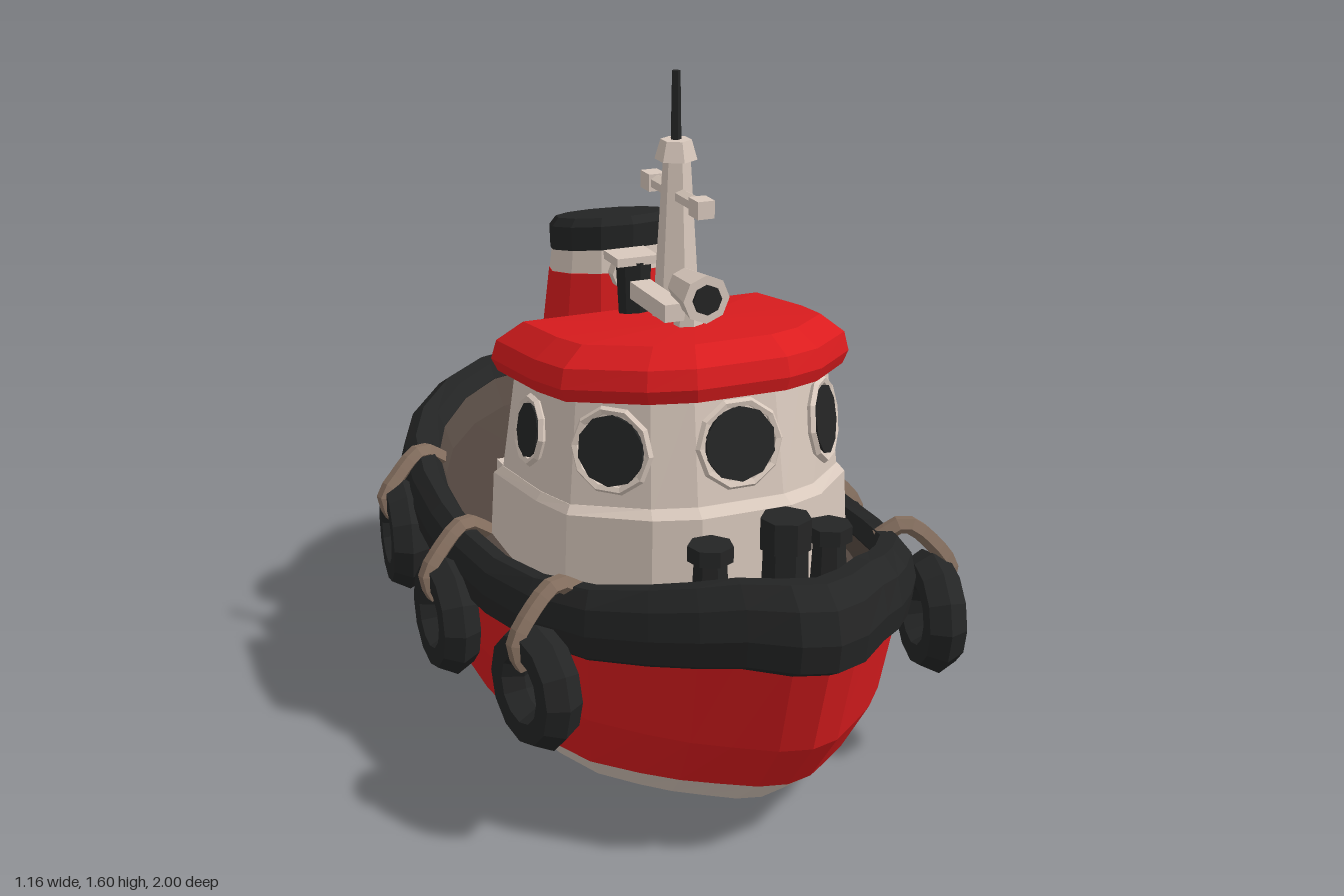
import * as THREE from 'three';

const mat = (name, color) => {
  const m = new THREE.MeshStandardMaterial({ color, flatShading: true });
  m.name = name;
  return m;
};

export function createModel() {
  const red = mat('red paint', 0xdb1c1e);
  const black = mat('black rubber', 0x242525);
  const cream = mat('cream paint', 0xd8c8bc);
  const deckBrown = mat('deck brown', 0x52463f);
  const ropeTan = mat('rope tan', 0x867060);

  const boat = new THREE.Group();
  boat.name = 'tugboat';
  const add = (name, geo, material, parent = boat) => {
    const m = new THREE.Mesh(geo, material);
    m.name = name;
    parent.add(m);
    return m;
  };

  // Skin a stack of closed rings, with optional end caps
  const loft = (rings, { bottom = false, top = false, lift = 0 } = {}) => {
    const pos = [];
    const tri = (...ps) => ps.forEach(p => pos.push(p.x, p.y, p.z));
    const n = rings[0].length;
    for (let k = 0; k + 1 < rings.length; k++) {
      const a = rings[k], b = rings[k + 1];
      for (let i = 0; i < n; i++) {
        const j = (i + 1) % n;
        tri(a[i], a[j], b[j]);
        tri(a[i], b[j], b[i]);
      }
    }
    const cap = (r, flip, up) => {
      const c = r.reduce((s, p) => s.add(p), new THREE.Vector3()).divideScalar(n);
      c.y += up;
      r.forEach((p, i) => {
        const q = r[(i + 1) % n];
        flip ? tri(c, q, p) : tri(c, p, q);
      });
    };
    if (bottom) cap(rings[0], true, 0);
    if (top) cap(rings[rings.length - 1], false, lift);
    const g = new THREE.BufferGeometry();
    g.setAttribute('position', new THREE.Float32BufferAttribute(pos, 3));
    g.computeVertexNormals();
    return g;
  };
  // Half outline (front to back) mirrored into a full ring
  const mirrored = half => [...half, ...half.slice(1).reverse()
    .filter(([x]) => x > 0).map(([x, z]) => [-x, z])];

  // ---- Hull ----
  const plan = mirrored([[0, 1], [.075, .975], [.16, .9], [.235, .83], [.31, .735], [.4, .6], [.46, .4], [.49, .2],
    [.5, 0], [.495, -.2], [.48, -.4], [.44, -.6], [.37, -.75], [.25, -.89], [.12, -.975], [0, -1]]);
  const hullRing = (sx, sFront, sBack, y) => plan.map(([x, z]) =>
    new THREE.Vector3(x * sx, y(z), z * (z > 0 ? sFront : sBack)));
  const railTop = z => .52 + (z > 0 ? Math.min(.2 * z * z, .175) : .11 * z * z);
  const railLow = z => .38 + (z > 0 ? Math.min(.15 * z * z, .12) : .1 * z * z);
  const waterline = hullRing(.84, .78, .835, z => .11 + .05 * z * z);
  add('keel', loft([
    hullRing(.56, .52, .6, () => 0),
    hullRing(.72, .65, .73, z => .04 + .02 * z * z),
    waterline], { bottom: true }), cream);
  add('hull', loft([
    waterline,
    hullRing(.91, .89, .92, z => .25 + .05 * z * z),
    hullRing(.96, .965, .975, z => railLow(z) + .05)]), red);

  // Fender rail around the gunwale: [x scale, z scale, height fraction]
  const railRings = [[.95, .95, 0], [.99, .99, .12], [1, 1, .45], [.98, .98, .8], [.93, .93, 1],
    [.86, .88, .97], [.82, .86, .72], [.84, .87, .5], [.95, .95, 0]]
    .map(([sx, sz, t]) => hullRing(sx, sz, sz, z => railLow(z) + t * (railTop(z) - railLow(z))));
  add('fenderRail', loft(railRings), black);
  const deckY = z => .45 + .08 * z * z;
  add('deck', loft([
    hullRing(.825, .862, .862, z => railLow(z) + .72 * (railTop(z) - railLow(z))),
    hullRing(.81, .83, .79, deckY)], { top: true }), deckBrown);

  // ---- Wheelhouse, raked toward the stern ----
  const tilt = (y, z) => y + .14 * (z - .25);
  const house = mirrored([[0, .5], [.1, .5], [.19, .46], [.32, .33], [.335, .2], [.33, -.06], [0, -.06]]);
  const houseRing = (sx, sz, y) => house.map(([x, z]) => {
    const zz = (z - .2) * sz + .2;
    return new THREE.Vector3(x * sx, tilt(y, zz), zz);
  });
  add('wheelhouseBase', loft([houseRing(1.1, 1.22, .44), houseRing(1.07, 1.18, .665),
    houseRing(1.03, 1.08, .685)], { top: true }), cream);
  add('wheelhouseWalls', loft([houseRing(1.03, 1.08, .67), houseRing(.95, .93, .95)]), cream);
  add('roof', loft([houseRing(.9, .9, .93), houseRing(1.05, 1.07, .925), houseRing(1.09, 1.1, .955),
    houseRing(1.06, 1.06, 1.0), houseRing(.9, .9, 1.045)], { bottom: true, top: true, lift: .015 }), red);

  // Portholes
  const porthole = (x, y, z, nx, nz, r) => {
    const g = new THREE.Group();
    g.name = 'porthole';
    const n = new THREE.Vector3(nx, .15, nz).normalize();
    g.position.set(x, y, z).addScaledVector(n, .008);
    g.lookAt(g.position.clone().add(n));
    boat.add(g);
    add('portholeGlass', new THREE.CylinderGeometry(r, r, .009, 10).rotateX(Math.PI / 2), black, g)
      .position.z = .004;
    add('portholeRim', new THREE.TorusGeometry(r + .01, .01, 5, 10), cream, g);
  };
  porthole(0, .85, .5, 0, 1, .084);
  for (const s of [1, -1]) {
    porthole(s * .25, .835, .4, s * .74, .67, .08);
    porthole(s * .332, .797, .12, s, 0, .064);
  }

  // Step behind the wheelhouse with dark vents
  add('rearStep', new THREE.BoxGeometry(.66, .18, .1), cream).position.set(0, .54, -.1);
  for (const s of [1, -1])
    add('rearVent', new THREE.BoxGeometry(.12, .008, .045), black).position.set(s * .24, .634, -.105);

  // ---- Funnel: bands of [radius, height, slant] ----
  const funnelRing = ([r, y, k]) => Array.from({ length: 12 }, (_, i) => {
    const a = i / 12 * Math.PI * 2;
    return new THREE.Vector3(r * Math.sin(a), y + k * r * Math.cos(a), -.235 + r * Math.cos(a));
  });
  const band = (name, m, ...rings) =>
    add(name, loft(rings.map(funnelRing), { bottom: true, top: true }), m);
  band('funnelFoot', red, [.23, .45, 0], [.228, .545, 0], [.2, .568, 0]);
  band('funnelBase', cream, [.205, .55, 0], [.195, .75, .1]);
  band('funnelCollar', red, [.195, .735, .1], [.215, .745, .1], [.21, .785, .1], [.18, .8, .1]);
  band('funnelBody', red, [.182, .78, .1], [.15, 1.055, .15]);
  band('funnelStripe', cream, [.149, 1.05, .15], [.142, 1.115, .18]);
  band('funnelCap', black, [.146, 1.108, .18], [.148, 1.165, .18], [.132, 1.185, .18]);

  // ---- Mast and roof fittings ----
  const cyl = (name, m, rt, rb, h, x, y, z, seg = 7) => {
    const c = add(name, new THREE.CylinderGeometry(rt, rb, h, seg), m);
    c.position.set(x, y, z);
    return c;
  };
  cyl('mast', cream, .03, .055, .4, 0, 1.22, .165, 6);
  cyl('mastHead', cream, .035, .048, .045, 0, 1.425, .16, 6);
  cyl('antenna', black, .01, .013, .17, 0, 1.515, .158, 5);
  cyl('crossbar', cream, .018, .018, .29, 0, 1.325, .17, 6).rotation.x = Math.PI / 2;
  for (const z of [.3, .03])
    add('crossbarEnd', new THREE.BoxGeometry(.04, .04, .05), cream).position.set(0, 1.325, z);
  // Searchlight
  cyl('searchlightPost', cream, .025, .035, .1, -.03, 1.09, .3, 6);
  cyl('searchlight', cream, .055, .04, .12, -.02, 1.14, .315, 8).rotation.x = Math.PI / 2;
  cyl('searchlightLens', black, .034, .034, .008, -.02, 1.14, .378, 8).rotation.x = Math.PI / 2;
  add('roofBracket', new THREE.BoxGeometry(.05, .04, .2), cream).position.set(-.07, 1.1, .22);
  // Rear horn
  cyl('hornPost', black, .042, .035, .13, -.05, 1.08, .035);
  add('hornCap', new THREE.BoxGeometry(.1, .02, .085), cream).position.set(-.055, 1.15, .03);
  cyl('hornRim', cream, .042, .042, .03, -.05, 1.105, -.005, 8).rotation.x = Math.PI / 2;
  cyl('hornMouth', black, .032, .032, .008, -.05, 1.105, -.022, 8).rotation.x = Math.PI / 2;

  // ---- Bollards ----
  cyl('bowBollard', black, .048, .055, .24, 0, .6, .74);
  cyl('bowBollardCap', black, .055, .055, .07, 0, .735, .74);
  for (const s of [1, -1]) {
    cyl('sideBollard', black, .035, .045, .2, s * .14, .59, .67);
    cyl('sideBollardCap', black, .05, .05, .035, s * .14, .685, .67);
  }
  cyl('sternBollard', black, .045, .055, .18, 0, .55, -.61);
  cyl('sternBollardCap', black, .068, .06, .055, 0, .65, -.61);

  // ---- Tyre fenders and their ropes: x, y, z, yaw ----
  for (const s of [1, -1]) for (const [x, y, z, yaw] of [[.483, .375, .53, -.17], [.517, .325, .01, 0], [.487, .355, -.43, .13]]) {
    const g = new THREE.Group();
    g.name = 'tyreFender';
    g.position.set(s * x, y, z);
    g.rotation.y = s * (Math.PI / 2 + yaw);
    boat.add(g);
    add('tyre', new THREE.TorusGeometry(.098, .046, 6, 12), black, g).scale.z = 1.1;
    const top = railTop(z);
    const path = new THREE.CatmullRomCurve3([
      [x - .12, top - .02, z - .05], [x - .06, top + .015, z - .03], [x + .01, top - .04, z - .01],
      [x + .045, y + .1, z], [x + .025, y + .05, z]].map(([a, b, c]) => new THREE.Vector3(s * a, b, c)));
    add('rope', new THREE.TubeGeometry(path, 10, .022, 5), ropeTan);
  }
  return boat;
}
